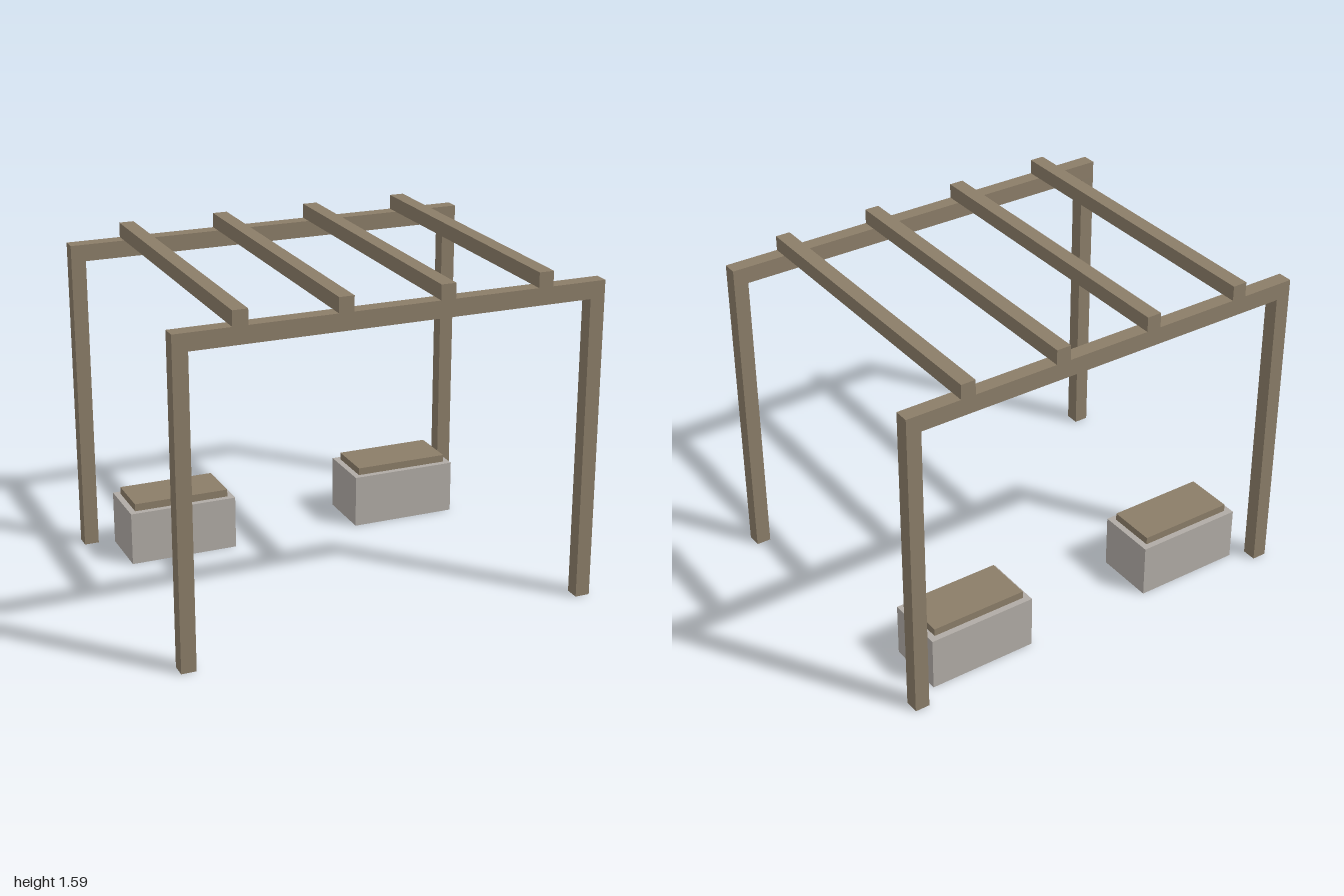
import * as THREE from 'three';

const wood = new THREE.MeshStandardMaterial({ color: 0x8b7d68 });
wood.name = 'weathered wood';
const stone = new THREE.MeshStandardMaterial({ color: 0xb0aba5 });
stone.name = 'pale stone';

// Box given by its centre in x and z, its bottom height and its size
function box(name, material, [x, bottom, z], [w, h, d]) {
  const mesh = new THREE.Mesh(new THREE.BoxGeometry(w, h, d), material);
  mesh.name = name;
  mesh.position.set(x, bottom + h / 2, z);
  return mesh;
}

export function createModel() {
  const model = new THREE.Group();
  model.name = 'pergola';

  const T = 0.07;        // timber thickness
  const halfDepth = 0.765;
  const beamBottom = 1.44;
  const beamTop = 1.52;
  const frameZ = halfDepth - T / 2;

  // Front and back frames: two posts carrying a beam
  for (const side of [1, -1]) {
    const frame = new THREE.Group();
    frame.name = side > 0 ? 'frontFrame' : 'backFrame';
    frame.add(box('beam', wood, [0, beamBottom, side * frameZ], [2, beamTop - beamBottom, T]));
    for (const s of [1, -1]) {
      frame.add(box(s > 0 ? 'leftPost' : 'rightPost', wood, [s * (1 - T / 2), 0, side * frameZ], [T, beamBottom, T]));
    }
    model.add(frame);
  }

  // Rafters resting on the beams
  for (let i = 0; i < 4; i++) {
    model.add(box(`rafter${i + 1}`, wood, [(i - 1.5) * 0.47, beamTop, 0], [T, T, halfDepth * 2]));
  }

  // Stone benches with wooden seats at the back corners
  for (const s of [1, -1]) {
    const bench = new THREE.Group();
    bench.name = s > 0 ? 'leftBench' : 'rightBench';
    bench.add(box('benchBase', stone, [s * 0.587, 0, -0.53], [0.53, 0.26, 0.294]));
    bench.add(box('benchSeat', wood, [s * 0.587, 0.26, -0.53], [0.47, 0.036, 0.235]));
    model.add(bench);
  }

  return model;
}
